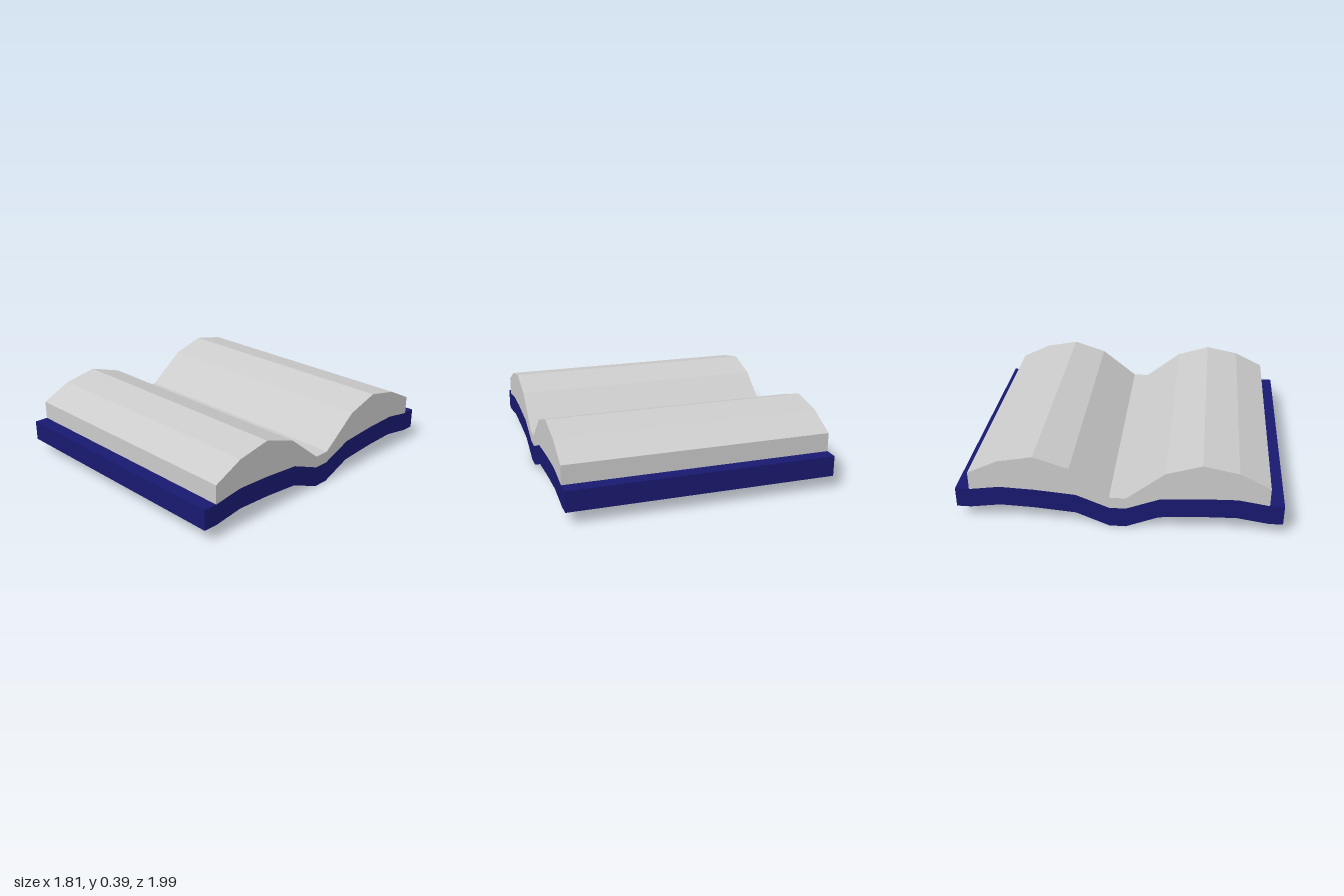
import * as THREE from 'three';

const WIDTH = 1.394; // length along the spine

// Half profiles from spine to outer edge: [distance from spine, height]
const coverTop = [[0.042, 0.11], [0.21, 0.177], [0.42, 0.194], [0.6, 0.2], [0.757, 0.176], [0.83, 0.176]];
const coverBottom = coverTop.map(([s, y]) => [s, y - (s < 0.1 ? 0.11 : 0.108)]);
const pageBottom = coverTop.slice(0, 5);
const pageTop = [[0.042, 0.172], [0.24, 0.33], [0.42, 0.387], [0.6, 0.352], [0.757, 0.275]];

// Mirror a half profile about the spine, ordered left to right
const mirrored = (half) => [...half.map(([s, y]) => [-s, y]).reverse(), ...half];

// Extrude the band between two mirrored profiles along the spine
function slab(name, bottom, top, color) {
  const outline = [...mirrored(bottom), ...mirrored(top).reverse()];
  const shape = new THREE.Shape(outline.map(([s, y]) => new THREE.Vector2(s, y)));
  const geometry = new THREE.ExtrudeGeometry(shape, { depth: WIDTH, bevelEnabled: false });
  geometry.translate(0, 0, -WIDTH / 2);
  const mesh = new THREE.Mesh(geometry, new THREE.MeshStandardMaterial({ color, flatShading: true }));
  mesh.name = name;
  return mesh;
}

export function createModel() {
  const group = new THREE.Group();
  group.name = 'openBook';
  const book = new THREE.Group();
  book.name = 'book';
  book.add(slab('cover', coverBottom, coverTop, 0x191970));
  book.add(slab('pages', pageBottom, pageTop, 0xcccccc));
  // The open book lies turned on the ground
  book.rotation.y = 1.28;
  group.add(book);
  return group;
}
